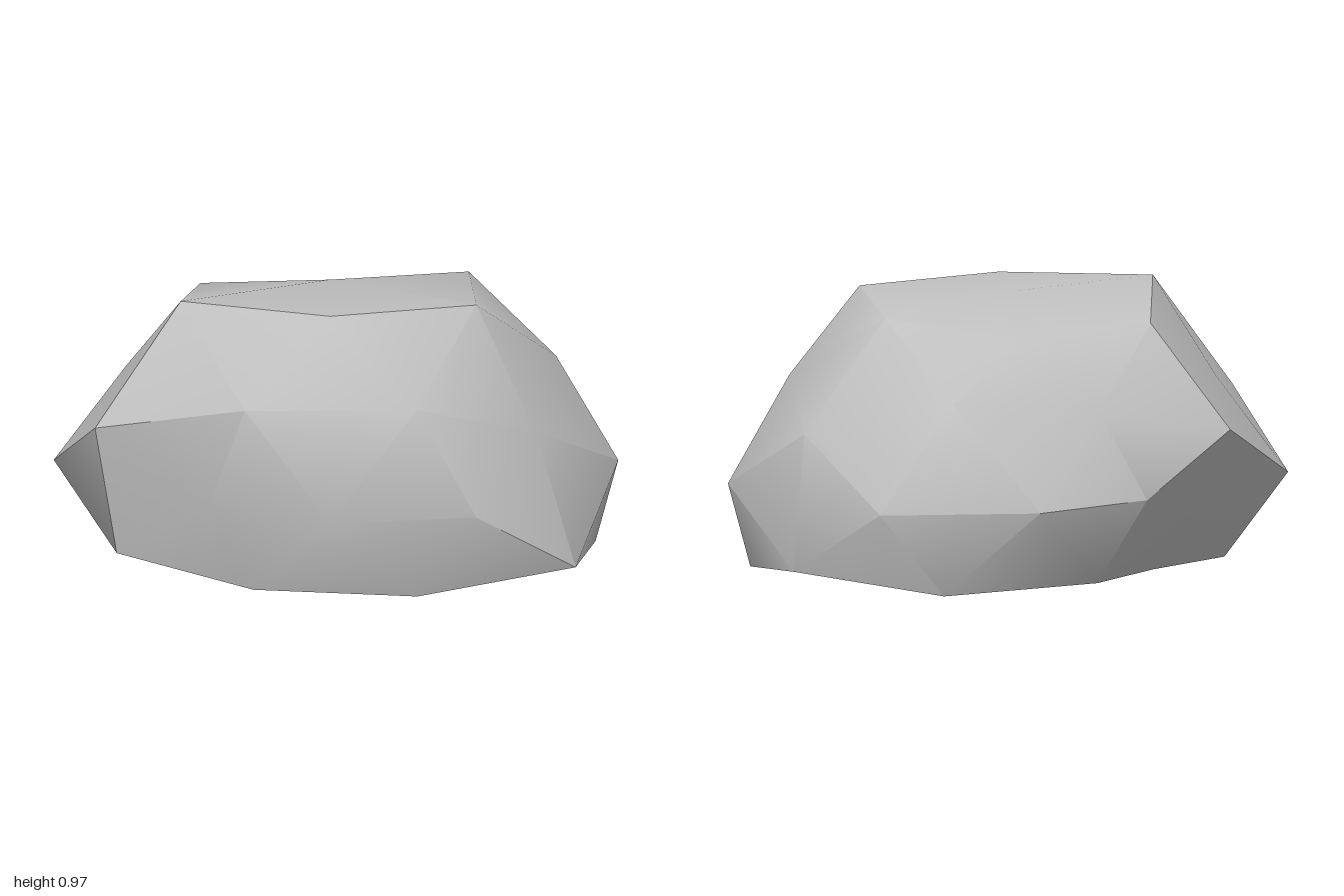
import * as THREE from 'three';
import { toCreasedNormals } from 'three/addons/utils/BufferGeometryUtils.js';

// Radius of each boulder corner, keyed by its dominant axis and the signs of x, y, z.
const RADII = {
  x: {
    '+00': 1.02, '-00': 0.98,
    '++0': 0.94, '-+0': 0.85, '+-0': 1.105, '--0': 0.885,
    '+++': 0.9, '-++': 1.03, '+-+': 1.075, '--+': 0.935,
    '++-': 0.985, '-+-': 0.9, '+--': 1.035, '---': 0.68,
  },
  y: {
    '0+0': 0.853, '0-0': 1,
    '0++': 1, '0+-': 0.83, '0-+': 0.95, '0--': 0.9,
    '+++': 1.035, '-++': 1.06, '++-': 0.98, '-+-': 0.92,
    '+-+': 0.9, '--+': 0.9, '+--': 0.9, '---': 0.94,
  },
  z: {
    '00+': 0.92, '00-': 0.95,
    '+0+': 0.985, '-0+': 0.82, '+0-': 1.083, '-0-': 0.78,
    '+++': 0.99, '-++': 0.98, '++-': 0.95, '-+-': 0.79,
    '+-+': 1, '--+': 0.88, '+--': 1.09, '---': 0.766,
  },
};

const sign = (v) => (v > 0.01 ? '+' : v < -0.01 ? '-' : '0');

function radiusAt(p) {
  const ax = Math.abs(p.x), ay = Math.abs(p.y), az = Math.abs(p.z);
  const axis = ax > ay && ax > az ? 'x' : ay > az ? 'y' : 'z';
  return RADII[axis][sign(p.x) + sign(p.y) + sign(p.z)];
}

export function createModel() {
  const group = new THREE.Group();
  group.name = 'rock';
  const stone = new THREE.MeshStandardMaterial({ color: 0xbfbfbf });
  stone.name = 'light grey stone';

  // Lumpy low-poly ball, squashed and cut flat at the ground
  const ball = new THREE.IcosahedronGeometry(1, 1);
  ball.rotateY(Math.PI / 2);
  const pos = ball.attributes.position;
  const p = new THREE.Vector3();
  for (let i = 0; i < pos.count; i++) {
    p.fromBufferAttribute(pos, i);
    p.multiplyScalar(radiusAt(p));
    pos.setXYZ(i, p.x - 0.02, Math.max(0, 0.3 + p.y * 0.785), 0.01 + p.z * 0.815);
  }

  // Soft across shallow edges, sharp across steep ones
  const boulder = new THREE.Mesh(toCreasedNormals(ball, THREE.MathUtils.degToRad(39)), stone);
  boulder.name = 'boulder';
  group.add(boulder);
  return group;
}
